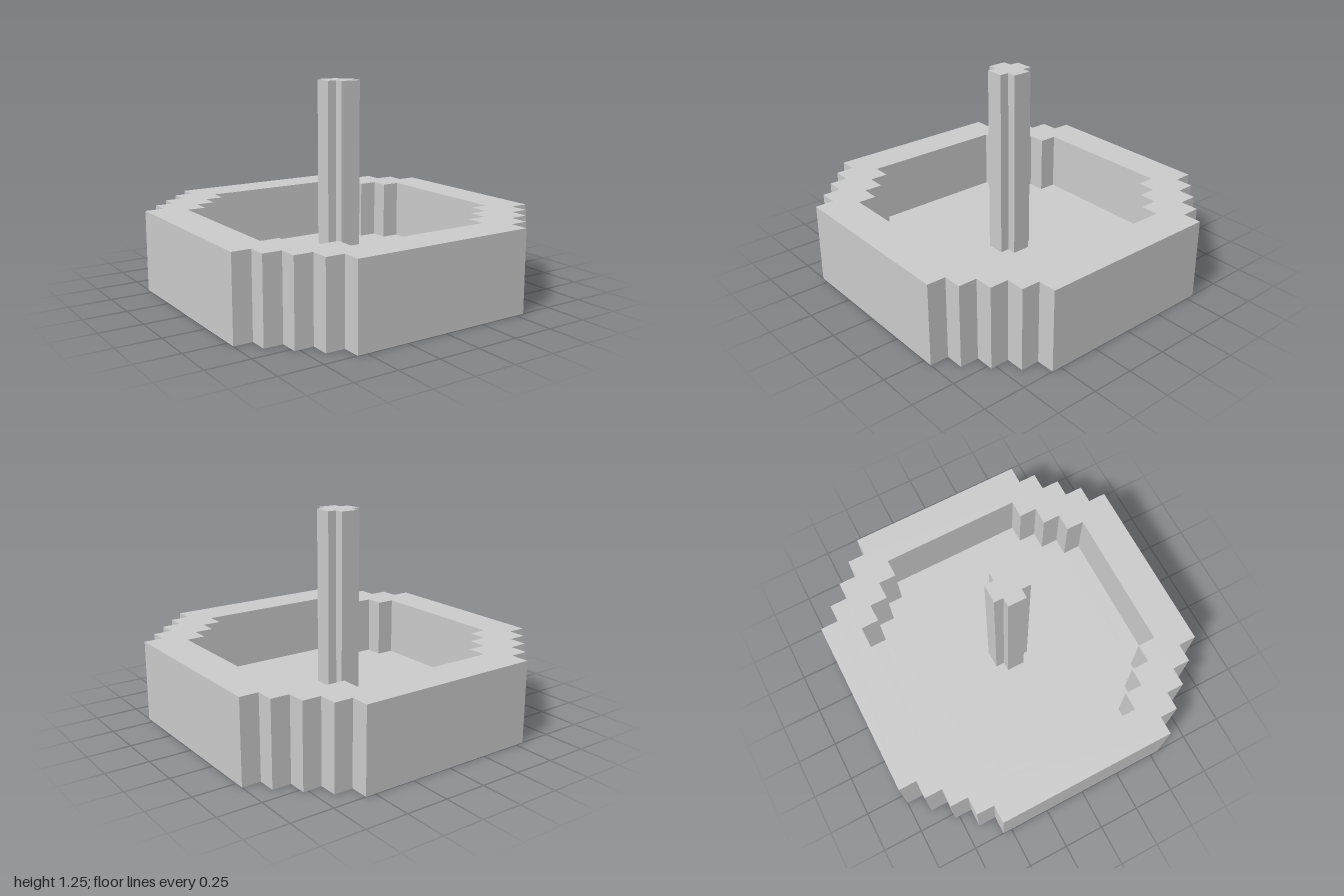
import * as THREE from 'three';

const U = 1 / 9; // width of one stair step
const RIM = 0.485, FLOOR = 0.12, TOP = 1.25;

// Closed stepped outline: from (reach, side) each corner steps inward to (side, reach)
function steppedOutline(reach, side, step) {
  const n = Math.round((reach - side) / step);
  const quarter = [[reach, side]];
  for (let i = 1; i <= n; i++) {
    quarter.push([reach - i * step, side + (i - 1) * step]);
    quarter.push([reach - i * step, side + i * step]);
  }
  const points = [];
  for (let q = 0; q < 4; q++) {
    const c = [1, 0, -1, 0][q], s = [0, 1, 0, -1][q];
    for (const [x, y] of quarter) points.push(new THREE.Vector2(x * c - y * s, x * s + y * c));
  }
  return points;
}

export function createModel() {
  const group = new THREE.Group();
  const material = new THREE.MeshStandardMaterial({ color: 0xcccccc, flatShading: true });

  // Upright prism between two heights
  const addPrism = (name, outline, y0, y1, hole) => {
    const shape = new THREE.Shape(outline);
    if (hole) shape.holes.push(new THREE.Path(hole));
    const geometry = new THREE.ExtrudeGeometry(shape, { depth: y1 - y0, bevelEnabled: false });
    geometry.rotateX(-Math.PI / 2).translate(0, y0, 0);
    const mesh = new THREE.Mesh(geometry, material);
    mesh.name = name;
    group.add(mesh);
  };

  const basin = steppedOutline(7 * U, 4 * U, U);

  // Basin wall, its floor and the central column
  addPrism('basinWall', steppedOutline(9 * U, 5 * U, U), 0, RIM, basin);
  addPrism('basinFloor', basin, 0, FLOOR);
  addPrism('centralColumn', steppedOutline(U, U / 2, U / 2), FLOOR, TOP);

  return group;
}
